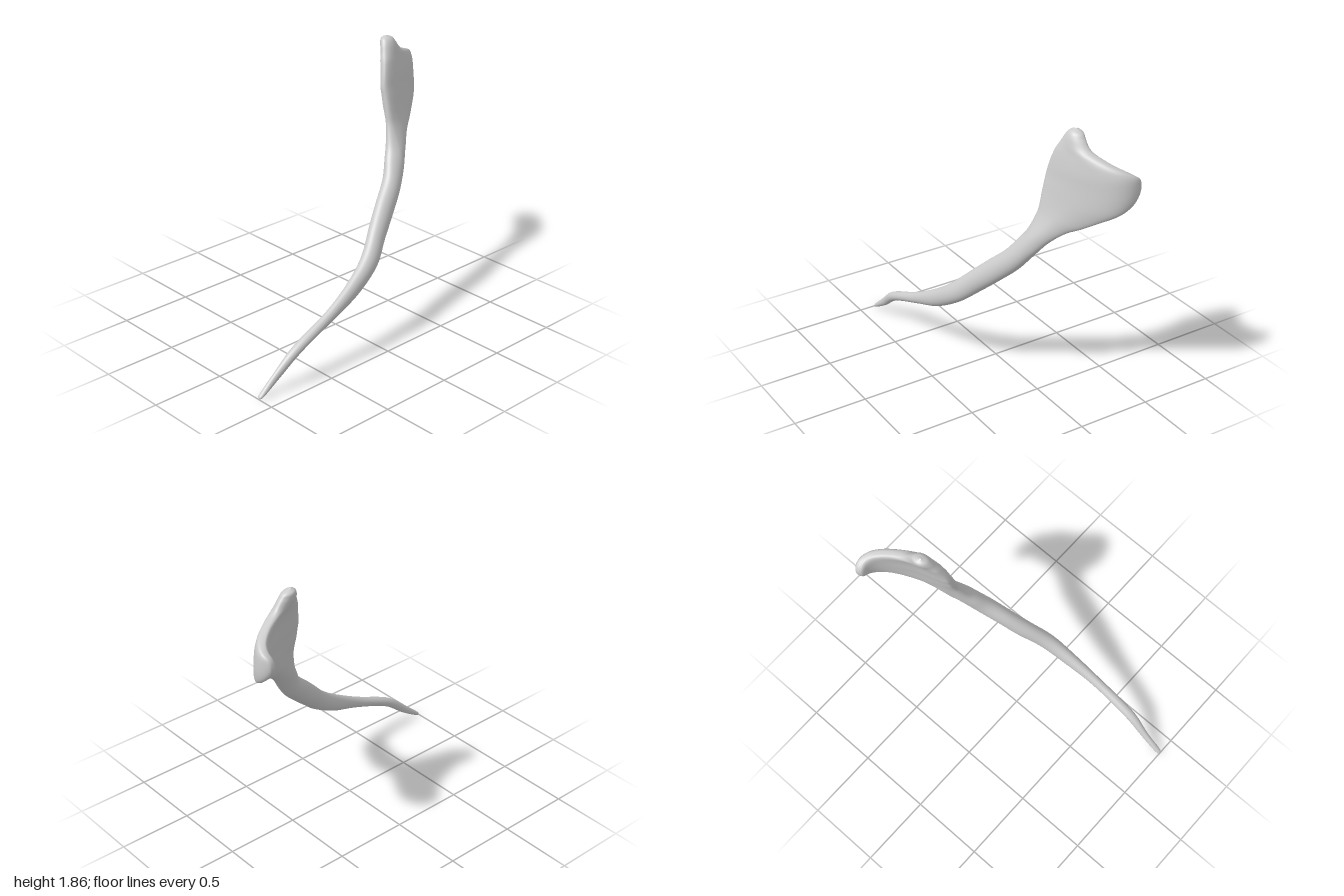
import * as THREE from 'three';

// Shaft sections: upper edge (q, y), lower edge (q, y), centre x, half thickness; q runs towards the back
const shaft = [
  [-1.0, 0.008, -0.998, 0.004, 0.38, 0.004],
  [-0.985, 0.03, -0.97, 0.006, 0.38, 0.018],
  [-0.87, 0.13, -0.84, 0.085, 0.38, 0.022],
  [-0.71, 0.26, -0.66, 0.215, 0.388, 0.033],
  [-0.42, 0.395, -0.38, 0.33, 0.378, 0.033],
  [-0.2, 0.52, -0.15, 0.415, 0.352, 0.044],
  [-0.04, 0.635, 0.05, 0.535, 0.312, 0.055],
  [0.1, 0.775, 0.19, 0.66, 0.24, 0.06],
  [0.21, 0.885, 0.32, 0.78, 0.183, 0.06],
  [0.33, 1.0, 0.44, 0.9, 0.125, 0.062],
  [0.395, 1.1, 0.54, 1.035, 0.07, 0.06],
].map((s) => [...s, s[5], s[5]]);

// Head sections: front edge, back edge, rim x, half thickness at the rim, middle and back
const head = [
  [0.44, 1.18, 0.61, 1.13, 0.03, 0.055, 0.058, 0.045],
  [0.475, 1.3, 0.7, 1.215, -0.01, 0.05, 0.048, 0.035],
  [0.48, 1.38, 0.79, 1.265, -0.03, 0.05, 0.042, 0.032],
  [0.48, 1.44, 0.89, 1.325, -0.045, 0.052, 0.04, 0.035],
  [0.48, 1.5, 1.03, 1.405, -0.058, 0.054, 0.038, 0.048],
  [0.48, 1.55, 1.115, 1.5, -0.07, 0.055, 0.038, 0.058],
  [0.49, 1.61, 1.11, 1.59, -0.08, 0.055, 0.038, 0.055],
  [0.505, 1.67, 1.02, 1.65, -0.092, 0.055, 0.038, 0.045],
  [0.52, 1.72, 0.88, 1.7, -0.105, 0.054, 0.04, 0.038],
  [0.54, 1.77, 0.76, 1.745, -0.12, 0.052, 0.045, 0.036],
  [0.555, 1.81, 0.7, 1.805, -0.135, 0.048, 0.045, 0.036],
  [0.575, 1.842, 0.67, 1.837, -0.145, 0.035, 0.035, 0.03],
  [0.61, 1.858, 0.62, 1.858, -0.15, 0.004, 0.004, 0.004],
];

// Plan curve that the blade follows, curling over at the back
const curl = new THREE.CatmullRomCurve3([
  [0, -0.5], [-0.02, -0.6], [-0.05, -0.7], [-0.1, -0.8], [-0.155, -0.88],
  [-0.21, -0.93], [-0.27, -0.95], [-0.35, -0.93],
].map(([x, z]) => new THREE.Vector3(x, 0, z)));
const curlLength = curl.getLength();

// Position and outward normal on the plan curve at distance q
function plan(q) {
  if (q <= 0.5) return { x: 0, z: -q, nx: 1, nz: 0 };
  const u = Math.min(1, (q - 0.5) / curlLength);
  const p = curl.getPointAt(u), t = curl.getTangentAt(u);
  // ease the normal in from the straight part
  const k = Math.min(1, (q - 0.5) / 0.1);
  const n = new THREE.Vector2(THREE.MathUtils.lerp(1, -t.z, k), t.x * k).normalize();
  return { x: p.x, z: p.z, nx: n.x, nz: n.y };
}

function loftGeometry(stations, steps, sides) {
  const track = (a, b, c) => new THREE.CatmullRomCurve3(
    stations.map((s) => new THREE.Vector3(s[a], s[b], s[c])), false, 'catmullrom', 0.5);
  const front = track(0, 1, 4), back = track(2, 3, 4), thick = track(5, 6, 7);
  const rows = (stations.length - 1) * steps;
  const position = [], index = [];
  for (let i = 0; i <= rows; i++) {
    const u = i / rows;
    const f = front.getPoint(u), b = back.getPoint(u), t = thick.getPoint(u);
    // wide sections become flatter plates, narrow ones stay elliptical
    const power = 1 - 0.4 * THREE.MathUtils.smoothstep(b.x - f.x, 0.15, 0.4);
    for (let j = 0; j < sides; j++) {
      const a = (j / sides) * Math.PI * 2, c = -Math.cos(a), s = Math.sin(a);
      const m = (c + 1) / 2;
      const p = plan(THREE.MathUtils.lerp(f.x, b.x, m));
      const half = t.y + (c < 0 ? t.x - t.y : t.z - t.y) * c * c;
      const d = half * Math.sign(s) * Math.abs(s) ** power;
      position.push(f.z + p.x + p.nx * d, Math.max(0, THREE.MathUtils.lerp(f.y, b.y, m)), p.z + p.nz * d);
      if (i < rows) {
        const k = (j + 1) % sides, r = i * sides, n = r + sides;
        index.push(r + j, r + k, n + j, r + k, n + k, n + j);
      }
    }
  }
  const geometry = new THREE.BufferGeometry();
  geometry.setAttribute('position', new THREE.Float32BufferAttribute(position, 3));
  geometry.setIndex(index);
  geometry.computeVertexNormals();
  return geometry;
}

export function createModel() {
  const group = new THREE.Group();
  group.name = 'curvedBone';
  // One continuous skin from the slender tip to the curled blade
  const bone = new THREE.Mesh(
    loftGeometry([...shaft, ...head], 6, 48),
    new THREE.MeshStandardMaterial({ color: 0xcccccc }));
  bone.name = 'shaftAndBlade';
  group.add(bone);
  return group;
}
